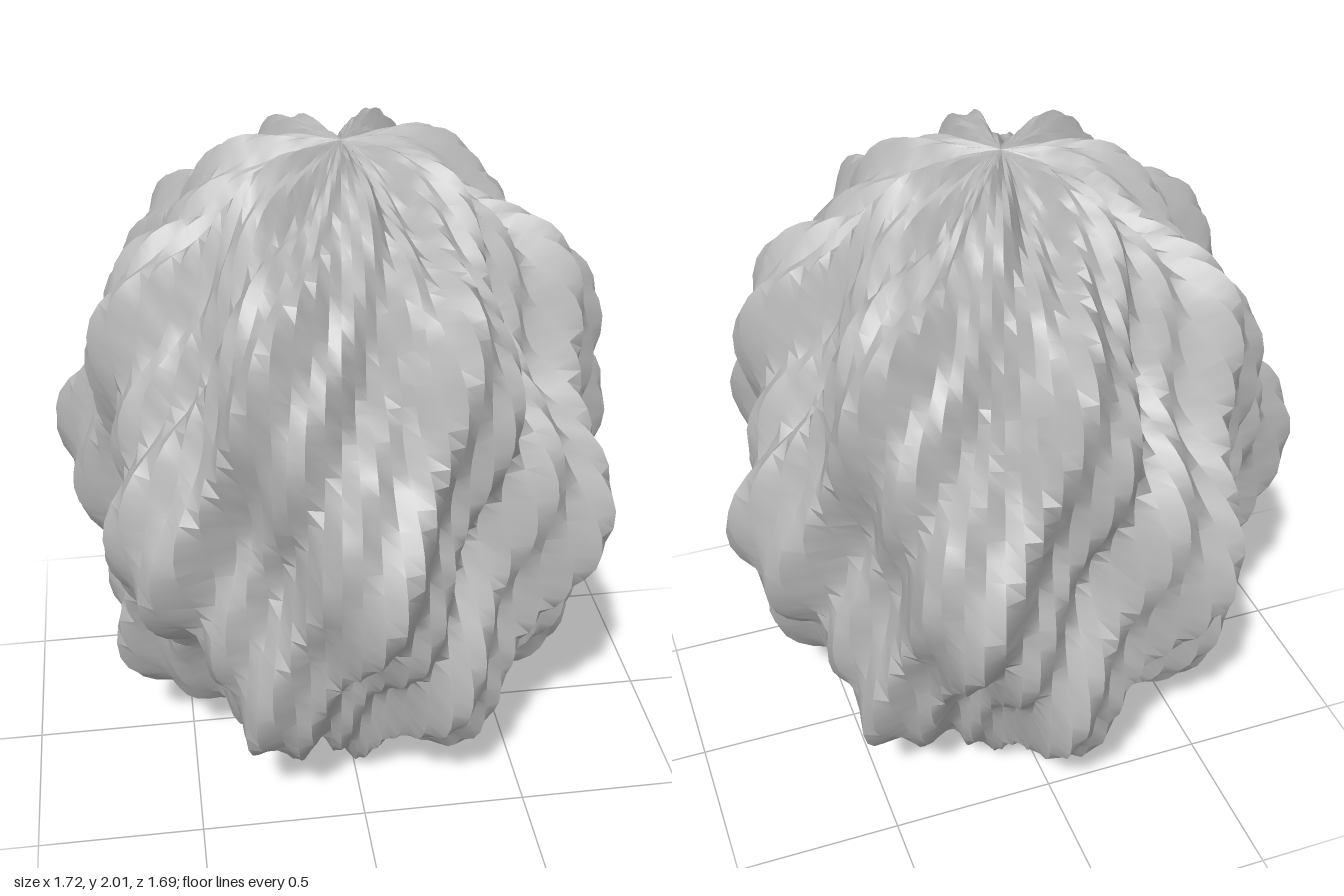
import * as THREE from 'three';
import { toCreasedNormals } from 'three/addons/utils/BufferGeometryUtils.js';

const WIDTH = 0.745;   // mean radius at the equator
const HEIGHT = 0.985;  // half height at the poles

// Relative swelling at an azimuth and elevation, fading at the poles:
// staggered rows of seven bumps, crossed by 23 narrow spiral ridges
function swelling(azimuth, elevation) {
  const fade = Math.pow(Math.max(Math.cos(elevation), 0), 0.9);
  const bumps = 0.155 * Math.cos(7 * azimuth) * Math.cos(5 * elevation);
  const ridges = 0.045 * Math.sin(23 * azimuth - 12 * elevation);
  return 1 + fade * (bumps + ridges);
}

export function createModel() {
  const group = new THREE.Group();
  group.name = 'ridgedPod';

  const grey = new THREE.MeshStandardMaterial({ color: 0xb8b8b8 });
  grey.name = 'grey';

  // Unit sphere shaped into an upright pod with bumps and ridges
  const sphere = new THREE.SphereGeometry(1, 96, 64);
  const pos = sphere.attributes.position;
  const v = new THREE.Vector3();
  for (let i = 0; i < pos.count; i++) {
    v.fromBufferAttribute(pos, i);
    const elevation = Math.asin(THREE.MathUtils.clamp(v.y, -1, 1));
    const r = swelling(Math.atan2(v.x, v.z), elevation);
    pos.setXYZ(i, v.x * r * WIDTH, v.y * r * HEIGHT, v.z * r * WIDTH);
  }

  // Stand it on the ground, centred
  sphere.computeBoundingBox();
  const centre = sphere.boundingBox.getCenter(new THREE.Vector3());
  sphere.translate(-centre.x, -sphere.boundingBox.min.y, -centre.z);

  const body = new THREE.Mesh(toCreasedNormals(sphere, Math.PI / 5), grey);
  body.name = 'ridgedBody';
  group.add(body);
  return group;
}
